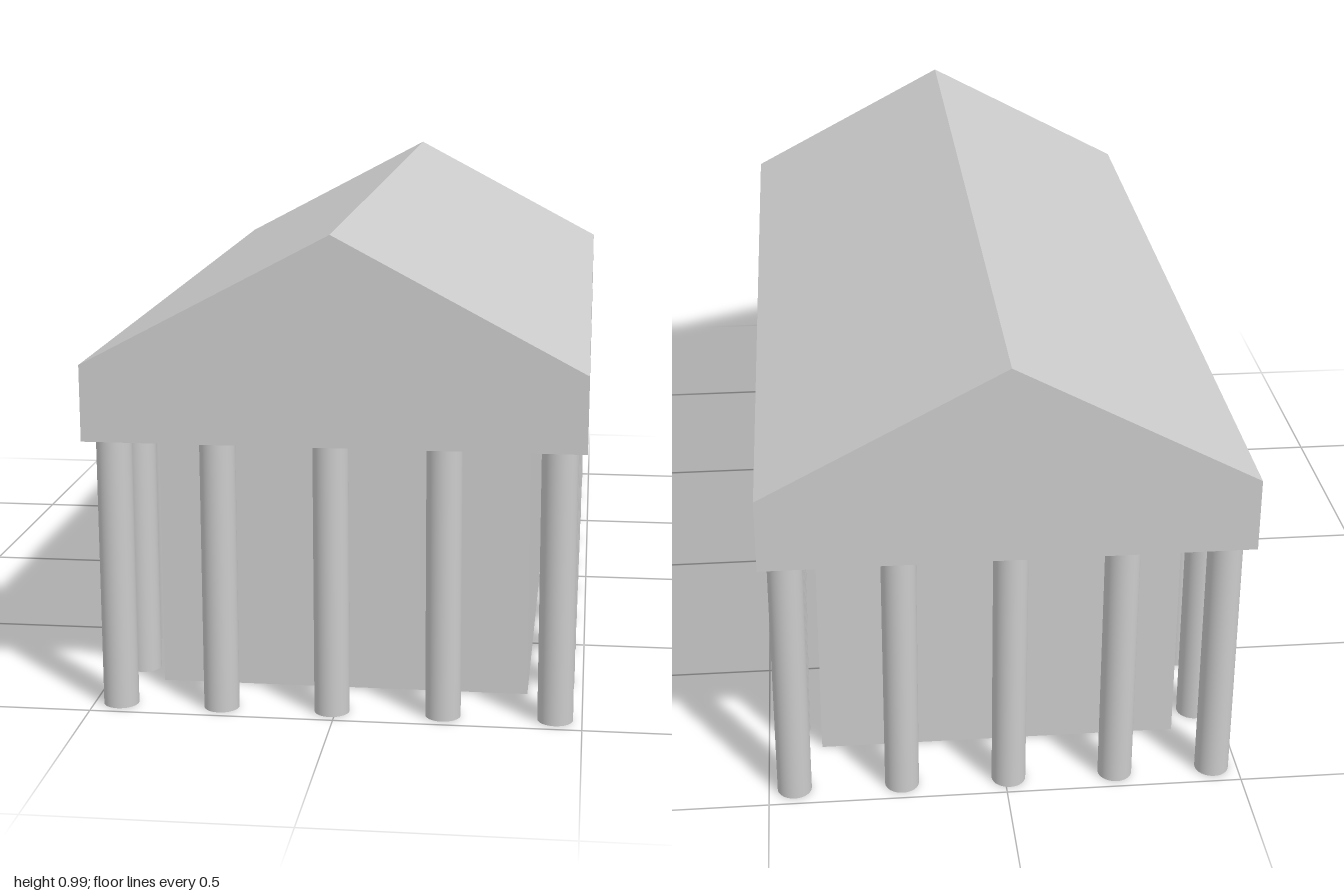
import * as THREE from 'three';

const EAVE = 0.565; // underside of the roof block

export function createModel() {
  const model = new THREE.Group();
  const material = new THREE.MeshStandardMaterial({ color: 0xcccccc });

  const add = (name, geometry, x = 0, y = 0, z = 0) => {
    const mesh = new THREE.Mesh(geometry, material);
    mesh.name = name;
    mesh.position.set(x, y, z);
    model.add(mesh);
  };

  // Gabled roof block: pentagon profile run along z
  const gable = new THREE.Shape([
    new THREE.Vector2(-0.5, EAVE),
    new THREE.Vector2(0.5, EAVE),
    new THREE.Vector2(0.5, 0.72),
    new THREE.Vector2(0, 0.985),
    new THREE.Vector2(-0.5, 0.72),
  ]);
  add('roof', new THREE.ExtrudeGeometry(gable, { depth: 2, bevelEnabled: false }), 0, 0, -1);

  // Closed inner hall
  add('hall', new THREE.BoxGeometry(0.77, EAVE, 1.62), 0, EAVE / 2, 0.003);

  // Ring of columns: ten along each side, three more between the corners at each end
  const columnGeometry = new THREE.CylinderGeometry(0.036, 0.036, EAVE, 32);
  const addColumn = (name, x, z) => add(name, columnGeometry, x, EAVE / 2, z);
  const sideX = 0.446, endZ = 0.947, perSide = 10;
  for (let i = 0; i < perSide; i++) {
    const z = endZ - (2 * endZ * i) / (perSide - 1);
    addColumn('leftColumn', sideX, z);
    addColumn('rightColumn', -sideX, z);
  }
  for (const x of [-0.236, -0.008, 0.219]) {
    addColumn('frontColumn', x, endZ);
    addColumn('backColumn', x, -endZ);
  }

  return model;
}
